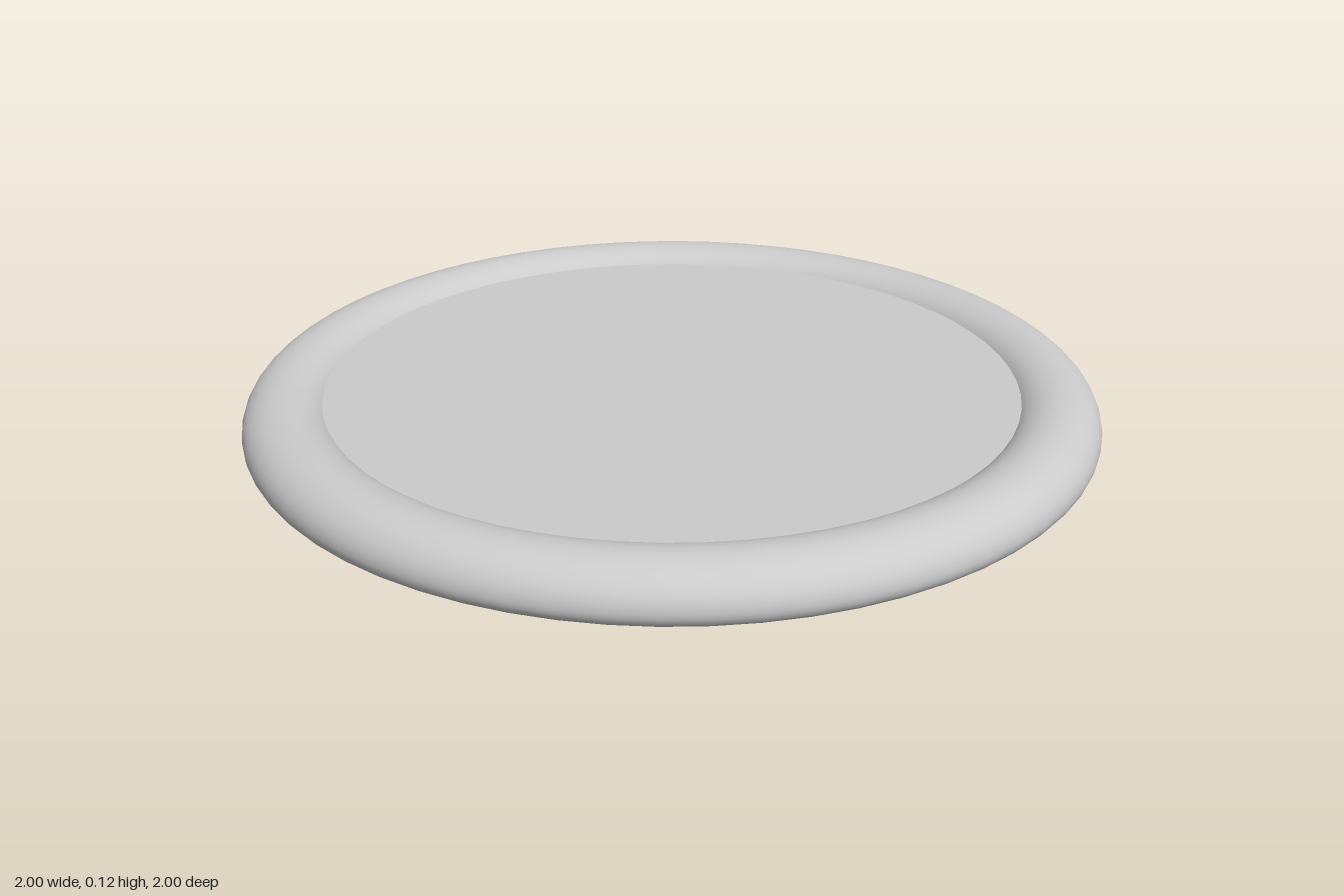
import * as THREE from 'three';

const SEGMENTS = 64;

// Points along an elliptical arc in the profile plane (radius, height)
function arc(cx, cy, rx, ry, from, to, steps) {
  return Array.from({ length: steps + 1 }, (_, i) => {
    const a = from + (to - from) * i / steps;
    return new THREE.Vector2(cx + rx * Math.cos(a), cy + ry * Math.sin(a));
  });
}

export function createModel() {
  const model = new THREE.Group();
  model.name = 'roundTray';
  const material = new THREE.MeshStandardMaterial({ color: 0xcccccc });

  // Rounded rim: flat underside, small lower fillets, domed top
  const profile = [
    new THREE.Vector2(0.9, 0),
    ...arc(0.96, 0.04, 0.04, 0.04, -Math.PI / 2, 0, 6),
    ...arc(0.9, 0.04, 0.1, 0.08, 0, Math.PI, 20).slice(1),
    ...arc(0.84, 0.04, 0.04, 0.04, Math.PI, Math.PI * 1.5, 6).slice(1),
    new THREE.Vector2(0.9, 0),
  ];
  const rim = new THREE.Mesh(new THREE.LatheGeometry(profile, SEGMENTS), material);
  rim.name = 'rim';
  model.add(rim);

  // Flat panel set into the rim, recessed above and below
  const bottom = 0.022, top = 0.085;
  const panel = new THREE.Mesh(
    new THREE.CylinderGeometry(0.83, 0.83, top - bottom, SEGMENTS), material);
  panel.position.y = (top + bottom) / 2;
  panel.name = 'panel';
  model.add(panel);

  return model;
}
